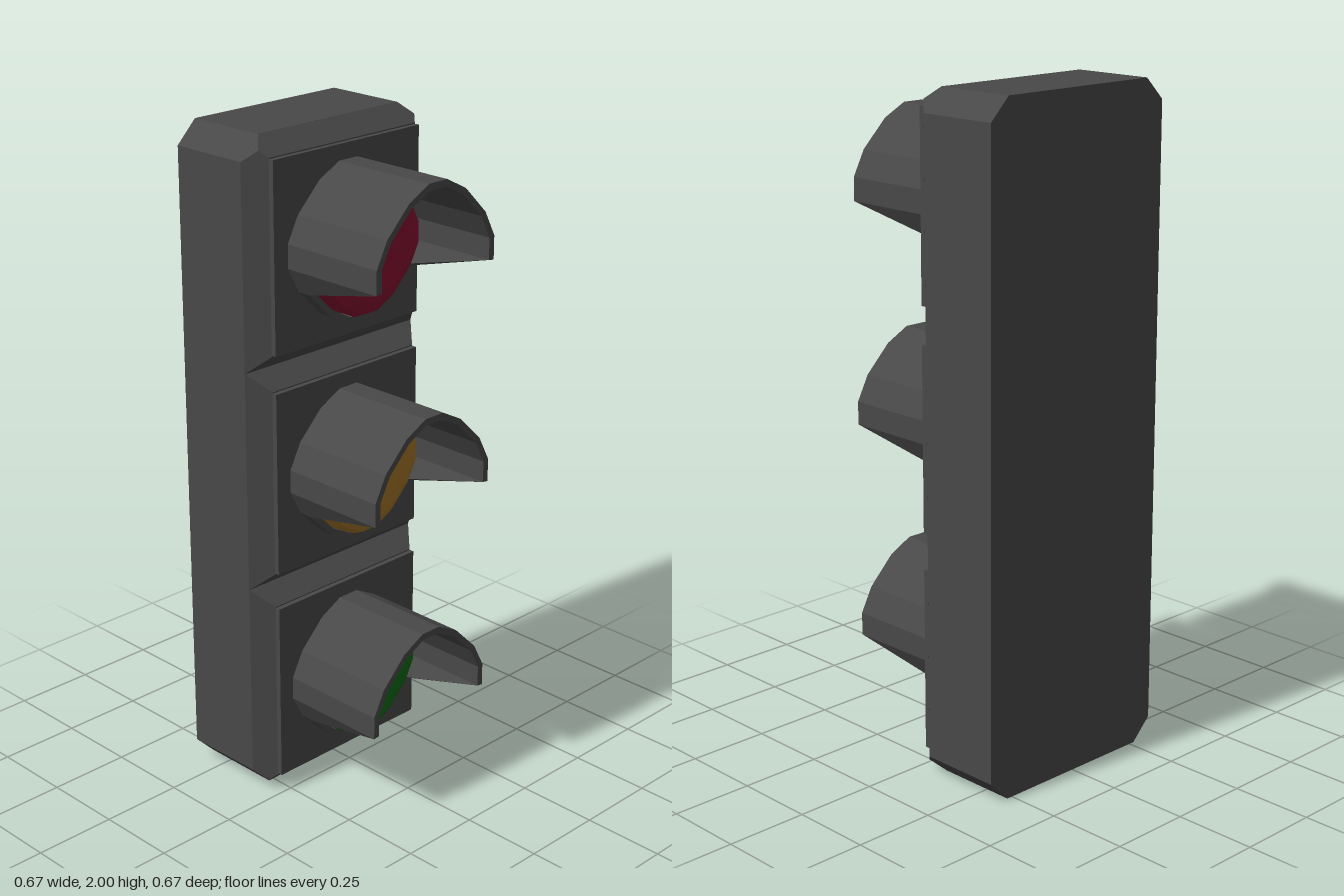
import * as THREE from 'three';
import { ConvexGeometry } from 'three/addons/geometries/ConvexGeometry.js';

const mat = (name, color) => {
  const m = new THREE.MeshStandardMaterial({ color, flatShading: true });
  m.name = name;
  return m;
};
const v = (x, y, z) => new THREE.Vector3(x, y, z);

// Sixteen-sided rounded outline shared by hoods and lenses
const corner = [[0.231, 0.035], [0.192, 0.11], [0.11, 0.192], [0.035, 0.231]];
const outline = [];
for (let q = 0; q < 4; q++) {
  for (const [x, y] of corner) {
    const c = [1, 0, -1, 0][q], s = [0, 1, 0, -1][q];
    outline.push([x * c - y * s, x * s + y * c]);
  }
}

// Joins closed rings of points into a faceted skin
function loft(rings) {
  const n = rings[0].length;
  const index = [];
  for (let k = 0; k < rings.length - 1; k++) {
    for (let i = 0; i < n; i++) {
      const j = (i + 1) % n, a = k * n, b = a + n;
      index.push(a + i, a + j, b + j, a + i, b + j, b + i);
    }
  }
  const g = new THREE.BufferGeometry().setFromPoints(rings.flat());
  g.setIndex(index);
  const flat = g.toNonIndexed();
  flat.computeVertexNormals();
  return flat;
}
const ring = (scale, depth) =>
  outline.map(([x, y]) => v(x * scale, y * scale, typeof depth === 'function' ? depth(y) : depth));

export function createModel() {
  const model = new THREE.Group();
  model.name = 'trafficLight';
  const housing = mat('charcoal', 0x484848);
  const lensColors = [
    mat('green', 0x0e6810), mat('amber', 0xa07226), mat('red', 0x850f2f),
  ];
  const add = (name, geometry, material, parent) => {
    const mesh = new THREE.Mesh(geometry, material);
    mesh.name = name;
    parent.add(mesh);
    return mesh;
  };

  const W = 0.333, C = 0.065, BACK = -0.333, MID = -0.077, FACE = -0.02;

  // Back case with chamfered corners
  const casePoints = [];
  for (const z of [BACK, MID]) {
    for (const s of [-1, 1]) {
      casePoints.push(v(s * W, C, z), v(s * (W - C), 0, z),
        v(s * W, 2 - C, z), v(s * (W - C), 2, z));
    }
  }
  add('backCase', new ConvexGeometry(casePoints), housing, model);

  // Hood: full collar below, long visor above, sloping cut between them
  const hoodDepth = (y) => (y < -0.1 ? 0.036 : 0.333);
  const hoodGeometry = loft([
    ring(1, -0.006), ring(1, hoodDepth), ring(0.915, hoodDepth), ring(0.915, -0.006),
  ]);
  // Domed lens with a flat centre
  const lensGeometry = loft([
    ring(0.9, -0.006), ring(0.9, 0.05), ring(0.84, 0.082),
    ring(0.7, 0.1), ring(0.52, 0.106), ring(0, 0.106),
  ]);

  for (let i = 0; i < 3; i++) {
    const section = new THREE.Group();
    section.name = ['lowerLight', 'middleLight', 'upperLight'][i];
    section.position.y = (2 * i + 1) / 3;
    model.add(section);

    // Bevelled front block; outer corners follow the case chamfer
    const F = 0.281, bevel = W - F, cut = C / (2 * bevel);
    const points = [];
    for (const sx of [-1, 1]) {
      for (const sy of [-1, 1]) {
        points.push(v(sx * F, sy * F, FACE));
        if (sy === i - 1) {
          const r = W - bevel * cut;
          points.push(v(sx * W, sy * (W - C), MID), v(sx * (W - C), sy * W, MID),
            v(sx * r, sy * r, MID + (FACE - MID) * cut));
        } else {
          points.push(v(sx * W, sy * W, MID));
        }
      }
    }
    add('bevelledFront', new ConvexGeometry(points), housing, section);

    // Door plate, hood and lens
    const plate = add('doorPlate', new THREE.BoxGeometry(0.564, 0.555, 0.016), housing, section);
    plate.position.z = -0.013;
    add('hood', hoodGeometry, housing, section);
    add('lens', lensGeometry, lensColors[i], section);
  }

  // Lamps face the model's left
  model.rotation.y = Math.PI / 2;
  const root = new THREE.Group();
  root.name = 'signalHead';
  root.add(model);
  return root;
}
